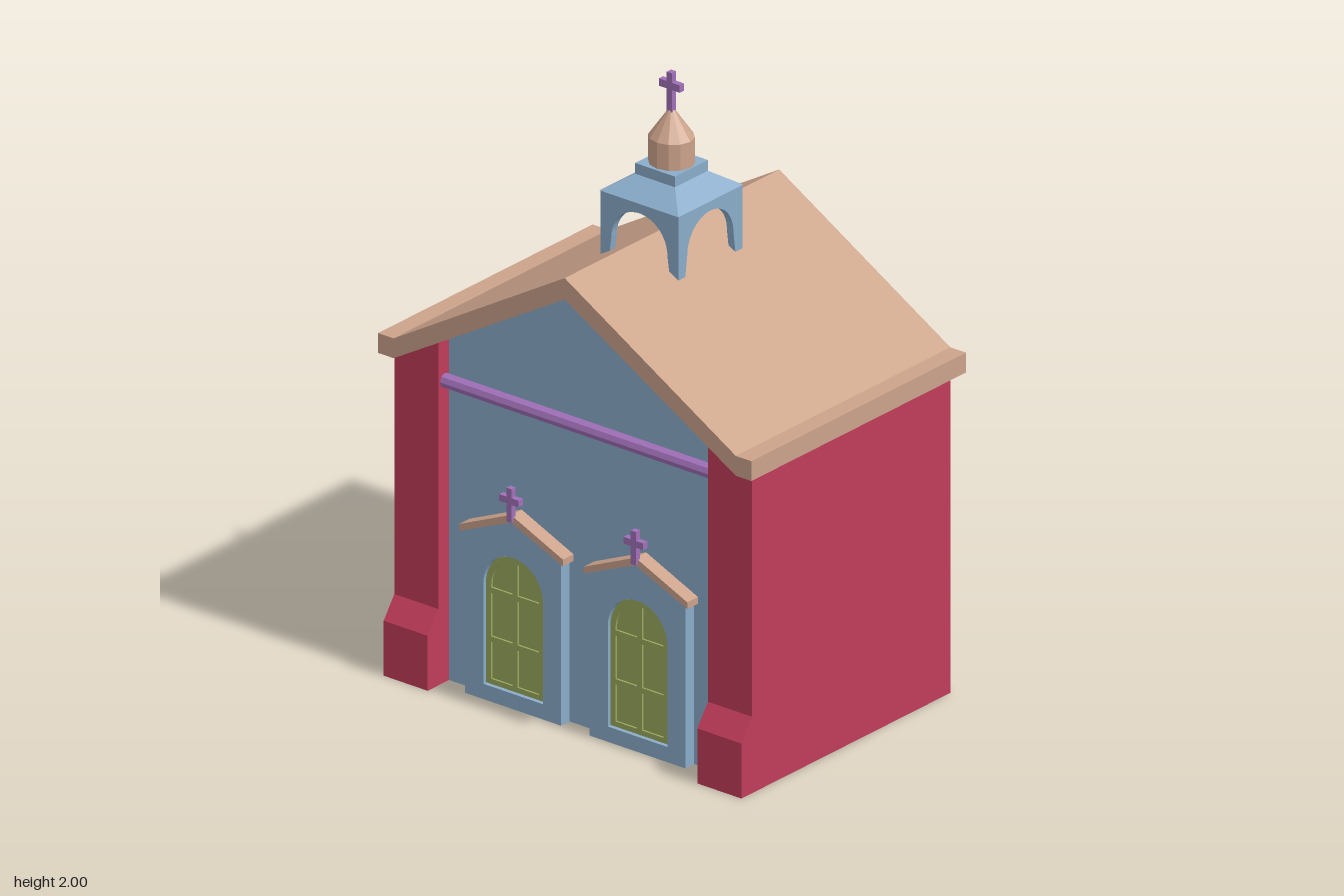
import * as THREE from 'three';

const mat = (color) => new THREE.MeshStandardMaterial({ color, side: THREE.DoubleSide, flatShading: true });

export function createModel() {
  const root = new THREE.Group();
  const red = mat(0xc03c5a), blue = mat(0x8aacca), tan = mat(0xcca38b), purple = mat(0xa070b8), olive = mat(0x9aa85e);

  const add = (name, geometry, material, parent = root) => {
    const mesh = new THREE.Mesh(geometry, material);
    mesh.name = name;
    parent.add(mesh);
    return mesh;
  };
  const box = (name, material, size, pos, parent) =>
    add(name, new THREE.BoxGeometry(...size), material, parent).position.set(...pos);

  // Open sheet between two polylines of 3D points
  const loft = (a, b) => {
    const v = [];
    for (let i = 0; i < a.length - 1; i++) {
      v.push(...a[i], ...b[i], ...b[i + 1], ...a[i], ...b[i + 1], ...a[i + 1]);
    }
    const g = new THREE.BufferGeometry();
    g.setAttribute('position', new THREE.Float32BufferAttribute(v, 3));
    g.computeVertexNormals();
    return g;
  };
  // Sheet swept along x from a (z, y) profile
  const sweep = (profile, x0, x1) =>
    loft(profile.map(([z, y]) => [x0, y, z]), profile.map(([z, y]) => [x1, y, z]));
  const poly = (pts) => new THREE.Shape(pts.map(([x, y]) => new THREE.Vector2(x, y)));
  // Turn a flat shape in (z, y) to face -x; depth grows toward -x
  const faceX = (shape, x, depth = 0) => {
    const g = depth
      ? new THREE.ExtrudeGeometry(shape, { depth, bevelEnabled: false, curveSegments: 12 })
      : new THREE.ShapeGeometry(shape);
    return g.rotateY(-Math.PI / 2).translate(x, 0, 0);
  };

  // Roof: open shell with boxed eaves and a gable band on the facade end
  const outer = [[-0.69, 1.045], [-0.72, 1.045], [-0.72, 1.11], [-0.66, 1.11], [0, 1.5],
    [0.66, 1.11], [0.72, 1.11], [0.72, 1.045], [0.69, 1.045]];
  const inner = [[0.66, 1.045], [0, 1.43], [-0.66, 1.045]];
  add('roof', sweep(outer, -0.5, 0.505), tan);
  add('gableBand', faceX(poly([...outer, ...inner]), -0.5), tan);
  add('gableSoffit', sweep(inner, -0.5, -0.41), tan);
  add('ceiling', sweep(inner, 0, 0.47), red);

  // Side walls with deep corner pilasters and sloped feet
  const foot = [[-0.51, 0], [-0.51, 0.18], [-0.46, 0.25]];
  for (const s of [1, -1]) {
    const side = new THREE.Group();
    side.name = s > 0 ? 'leftSide' : 'rightSide';
    root.add(side);
    const outline = (x, y) => new THREE.ShapeGeometry(poly([...foot, [-0.46, y], [x, y], [x, 0]]));
    add('outerWall', outline(0.47, 1.05).translate(0, 0, 0.69 * s), red, side);
    add('pilasterInnerWall', outline(0, 1.13).translate(0, 0, 0.52 * s), red, side);
    add('pilasterFront', loft(
      [...foot, [-0.46, 1.13]].map(([x, y]) => [x, y, 0.52 * s]),
      [...foot, [-0.46, 1.04]].map(([x, y]) => [x, y, 0.69 * s])), red, side);
    add('pilasterTop', sweep([[0.52 * s, 1.13], [0.66 * s, 1.048]], -0.46, 0), red, side);
    add('innerWall', sweep([[0.66 * s, 0], [0.66 * s, 1.045]], -0.41, 0.44), blue, side);
  }

  // Facade with two portal openings
  const portalPts = (z, w = 0.185) =>
    [[z - w, 0], [z + w, 0], [z + w, 0.54], [z, 0.62], [z - w, 0.54]];
  const facade = poly([[-0.66, 0], [0.66, 0], [0.66, 1.045], [0, 1.43], [-0.66, 1.045]]);
  for (const z of [-0.24, 0.24]) {
    facade.holes.push(new THREE.Path(portalPts(z).map(([a, b]) => new THREE.Vector2(a, b))));
  }
  add('facade', faceX(facade, -0.41), blue);
  const beam = add('corniceBeam', new THREE.CylinderGeometry(0.023, 0.023, 1.04, 8), purple);
  beam.rotation.x = Math.PI / 2;
  beam.position.set(-0.43, 0.99, 0);

  // Round-headed outline for doors and their frames
  const arched = (Type, r, bottom, spring) => {
    const p = new Type();
    p.moveTo(-r, bottom);
    p.lineTo(r, bottom);
    p.lineTo(r, spring);
    p.absarc(0, spring, r, 0, Math.PI, false);
    p.lineTo(-r, bottom);
    return p;
  };

  for (const z of [-0.24, 0.24]) {
    const portal = new THREE.Group();
    portal.name = z > 0 ? 'leftPortal' : 'rightPortal';
    portal.position.z = z;
    root.add(portal);
    const pts = portalPts(0);
    const front = poly(pts);
    front.holes.push(arched(THREE.Path, 0.115, 0.05, 0.38));
    add('portalFrame', faceX(front, -0.43, 0.02), blue, portal);
    add('portalSides', sweep([...pts, pts[0]].slice(1), -0.45, -0.41), blue, portal);
    add('portalBack', faceX(poly(pts), -0.428), blue, portal);
    add('door', faceX(arched(THREE.Shape, 0.115, 0.05, 0.38), -0.431, 0.003), olive, portal);
    const rim = arched(THREE.Shape, 0.112, 0.053, 0.38);
    rim.holes.push(arched(THREE.Path, 0.092, 0.07, 0.38));
    add('doorRim', faceX(rim, -0.434, 0.007), olive, portal);
    box('doorPost', olive, [0.008, 0.42, 0.02], [-0.437, 0.27, 0], portal);
    for (const y of [0.2, 0.36]) box('doorRail', olive, [0.008, 0.018, 0.2], [-0.437, y, 0], portal);
    const chevron = poly([[-0.2, 0.53], [0, 0.615], [0.2, 0.53], [0.2, 0.552], [0, 0.64], [-0.2, 0.552]]);
    add('portalRoof', faceX(chevron, -0.41, 0.05), tan, portal);
    box('portalCrossPost', purple, [0.02, 0.11, 0.02], [-0.46, 0.675, 0], portal);
    box('portalCrossArm', purple, [0.02, 0.022, 0.075], [-0.46, 0.69, 0], portal);
  }

  // Bell tower: arched walls on three sides and an open barrel on +x
  const tower = new THREE.Group();
  tower.name = 'bellTower';
  root.add(tower);
  const wall = poly([[0.12, 1.39], [0.15, 1.39], [0.15, 1.62], [-0.15, 1.62], [-0.15, 1.39], [-0.12, 1.39], [-0.108, 1.48]]);
  wall.absarc(0, 1.48, 0.108, Math.PI, 0, true);
  wall.closePath();
  const wallGeo = new THREE.ExtrudeGeometry(wall, { depth: 0.025, bevelEnabled: false, curveSegments: 12 });
  [0, Math.PI, -Math.PI / 2].forEach((turn) => {
    add('archWall', wallGeo.clone().translate(0, 0, 0.125).rotateY(turn), blue, tower);
  });
  const barrel = [[-0.12, 1.39]];
  for (let i = 0; i <= 12; i++) {
    const t = Math.PI * (1 - i / 12);
    barrel.push([0.11 * Math.cos(t), 1.48 + 0.11 * Math.sin(t)]);
  }
  barrel.push([0.12, 1.39]);
  add('archBarrel', sweep(barrel, 0.125, 0.155), blue, tower);

  // Hipped cap and drum base, open toward +x
  const ring = (r, y) => [[r, y, -r], [-r, y, -r], [-r, y, r], [r, y, r]];
  add('towerHip', loft(ring(0.152, 1.62), ring(0.077, 1.67)), blue, tower);
  add('drumBase', loft(ring(0.077, 1.67), ring(0.077, 1.705)), blue, tower);
  add('drumTop', new THREE.PlaneGeometry(0.154, 0.154).rotateX(-Math.PI / 2).translate(0, 1.705, 0), blue, tower);

  // Spire with a missing wedge toward +x
  const profile = [[0.072, 1.705], [0.072, 1.79], [0.001, 1.89]].map(([x, y]) => new THREE.Vector2(x, y));
  add('spire', new THREE.LatheGeometry(profile, 10, Math.PI * 2 / 3, Math.PI * 5 / 3).scale(0.94, 1, 1), tan, tower);
  box('crossPost', purple, [0.02, 0.14, 0.02], [0, 1.93, 0], tower);
  box('crossArm', purple, [0.02, 0.024, 0.08], [0, 1.957, 0], tower);

  return root;
}
